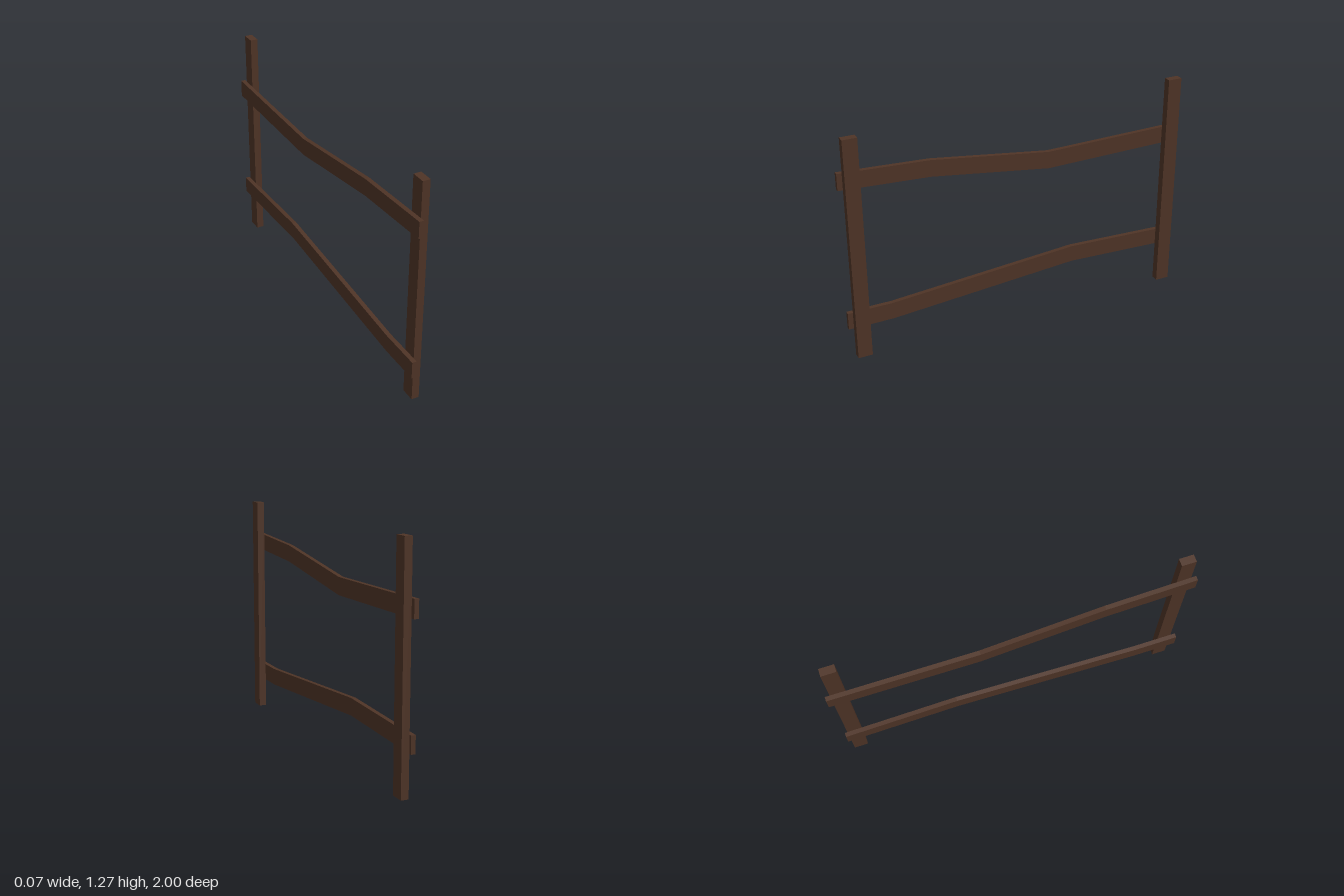
import * as THREE from 'three';

const wood = new THREE.MeshStandardMaterial({ color: 0x4f3426, flatShading: true });

// Bent plank: stations are [z, bottom y, top y], extruded through its thickness in x
function rail(name, stations) {
  const bottom = stations.map(([z, lo]) => new THREE.Vector2(z, lo));
  const top = stations.map(([z, , hi]) => new THREE.Vector2(z, hi)).reverse();
  const geometry = new THREE.ExtrudeGeometry(new THREE.Shape([...bottom, ...top]), {
    depth: 0.025, bevelEnabled: false,
  });
  geometry.rotateY(-Math.PI / 2).translate(-0.009, 0, 0);
  const mesh = new THREE.Mesh(geometry, wood);
  mesh.name = name;
  return mesh;
}

// Square-cut upright standing on the ground
function post(name, z) {
  const height = 1.267;
  const mesh = new THREE.Mesh(new THREE.BoxGeometry(0.042, height, 0.08), wood);
  mesh.position.set(0.012, height / 2, z);
  mesh.name = name;
  return mesh;
}

export function createModel() {
  const fence = new THREE.Group();
  fence.name = 'fence';
  fence.add(
    post('frontPost', 0.932),
    post('backPost', -0.935),
    rail('upperRail', [[1, 0.982, 1.075], [0.5, 0.957, 1.051], [-0.18, 0.866, 0.963], [-1, 0.882, 0.978]]),
    rail('lowerRail', [[1, 0.165, 0.262], [0.75, 0.165, 0.262], [-0.335, 0.25, 0.345], [-0.99, 0.227, 0.322]]),
  );
  return fence;
}
